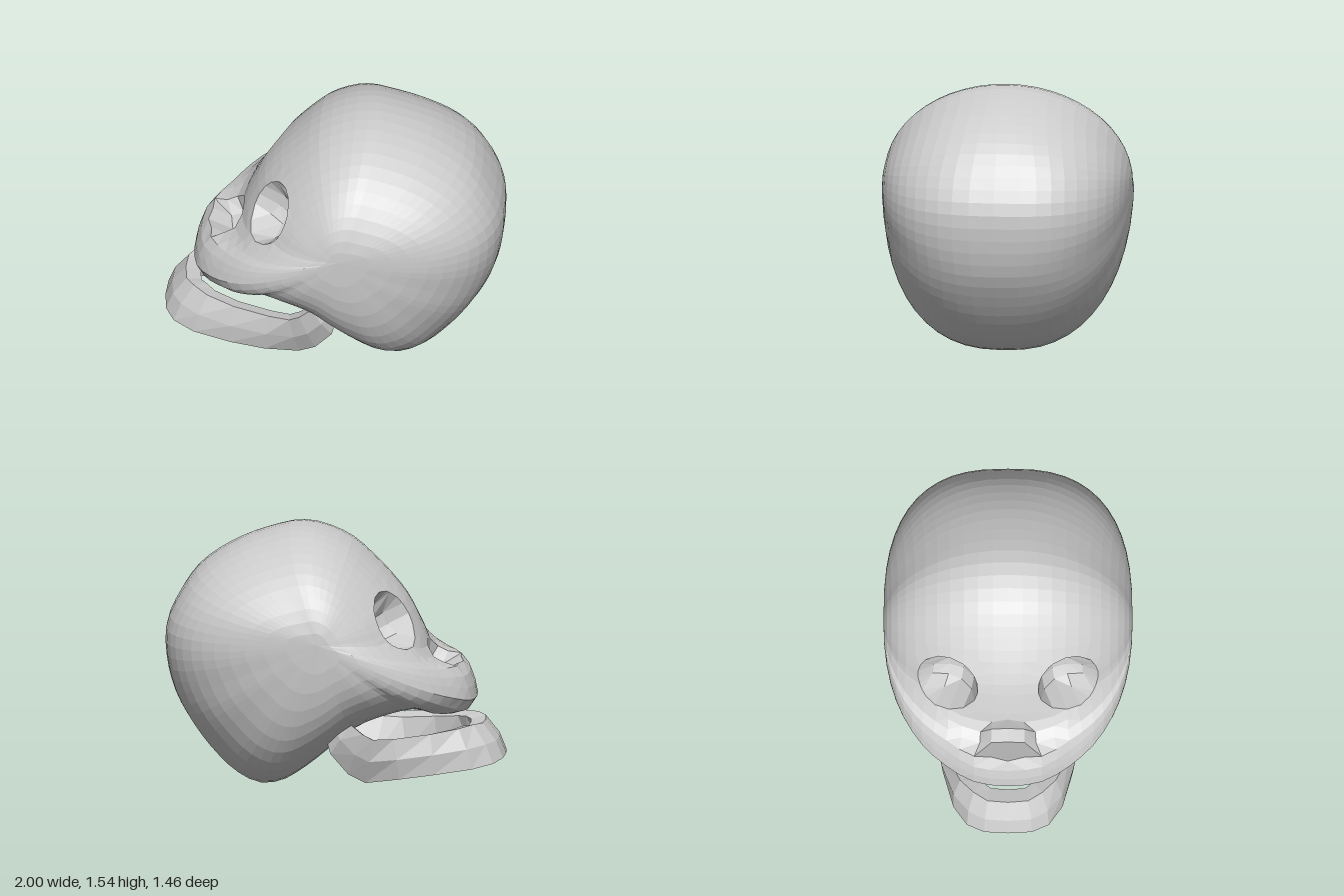
import * as THREE from 'three';

const { smoothstep } = THREE.MathUtils;
const bone = () => new THREE.MeshStandardMaterial({ color: 0xcccccc, flatShading: true, side: THREE.DoubleSide });

function makeMesh(name, positions, index) {
  const g = new THREE.BufferGeometry();
  g.setAttribute('position', new THREE.Float32BufferAttribute(positions, 3));
  g.setIndex(index);
  g.computeVertexNormals();
  const mesh = new THREE.Mesh(g, bone());
  mesh.name = name;
  return mesh;
}

// Midline outline from the upper teeth over the crown and back: x, y, roundness exponent
const OUTLINE = [
  [-0.83, 0.52, 2.2], [-0.81, 0.61, 2.2], [-0.755, 0.72, 2.2], [-0.66, 0.745, 2.1], [-0.57, 0.8, 2.1],
  [-0.52, 0.91, 2], [-0.43, 1.09, 1.95], [-0.33, 1.22, 1.95], [-0.2, 1.35, 2], [-0.08, 1.45, 2],
  [0.08, 1.52, 2], [0.22, 1.54, 2], [0.4, 1.5, 2], [0.6, 1.42, 2.1], [0.8, 1.28, 2.35],
  [0.91, 1.13, 2.6], [0.99, 0.95, 2.65], [0.99, 0.76, 2.65], [0.94, 0.55, 2.5], [0.85, 0.38, 2.5],
  [0.72, 0.2, 2.4], [0.57, 0.06, 2.4], [0.43, 0, 2.4], [0.3, 0.025, 2.5], [0.18, 0.1, 2.65],
  [0, 0.25, 3], [-0.15, 0.37, 3.1], [-0.35, 0.45, 3], [-0.52, 0.475, 2.6], [-0.68, 0.42, 2.4], [-0.78, 0.45, 2.3],
];
// Away from the midline the muzzle runs straight up into the cheek
const CHEEK = { 0: [-0.81, 0.53], 1: [-0.77, 0.62], 2: [-0.71, 0.71], 3: [-0.635, 0.77], 4: [-0.57, 0.84], 29: [-0.66, 0.45], 30: [-0.75, 0.47] };

const toCurve = (rows) => new THREE.CatmullRomCurve3(rows.map(([x, y, n]) => new THREE.Vector3(x, y, n / 10)), true);
const midCurve = toCurve(OUTLINE);
const sideCurve = toCurve(OUTLINE.map(([x, y, n], i) => [...(CHEEK[i] ?? [x, y]), n]));

// Skull surface: u runs round the outline, v from the right side (-1) to the left (1)
const CX = 0.05, CY = 0.95, HALF_WIDTH = 0.73;
function skullPoint(u, v) {
  const t = midCurve.getUtoTmapping(((u % 1) + 1) % 1);
  const mid = midCurve.getPoint(t), e = 0.2 / mid.z;
  const s = Math.sin((v * Math.PI) / 2);
  const a = Math.pow(Math.max(0, Math.cos((v * Math.PI) / 2)), e);
  const z = HALF_WIDTH * Math.sign(s) * Math.pow(Math.abs(s), e);
  const o = mid.lerp(sideCurve.getPoint(t), smoothstep(Math.abs(z), 0.18, 0.42));
  const p = new THREE.Vector3(CX + (o.x - CX) * a, CY + (o.y - CY) * a, z);
  // Hollow palate behind the tooth ridge
  if (p.y < 0.56) {
    const span = smoothstep(p.x, -0.76, -0.6) * (1 - smoothstep(p.x, -0.35, -0.1));
    p.y += 0.1 * span * Math.max(0, 1 - (z / 0.3) ** 2);
  }
  return p;
}

// Openings in the face: centre, axis pointing out, radius, sideways stretch, depth
const socket = (c, n, r, wide, depth) => ({ c: new THREE.Vector3(...c), n: new THREE.Vector3(...n).normalize(), r, wide, depth });
const SOCKETS = [
  socket([-0.35, 1.02, 0.345], [-0.8, 0.45, 0.4], 0.19, 1, 0.19),
  socket([-0.35, 1.02, -0.345], [-0.8, 0.45, -0.4], 0.19, 1, 0.19),
  socket([-0.63, 0.775, 0], [-0.6, 0.8, 0], 0.125, 1.35, 0.12),
];

// Distance from a socket's axis in radii; points far in front or behind count as outside
function socketDistance(p, { c, n, r, wide }) {
  const v = p.clone().sub(c), along = v.dot(n);
  if (Math.abs(along) > 0.115) return 9;
  v.addScaledVector(n, -along);
  return Math.hypot(v.x, v.y, v.z / wide) / r;
}

// Slide vertices near the rim onto it along the surface, and sink those inside
function cutSocket(grid, k) {
  const dist = grid.map((g) => socketDistance(g.p, k));
  const centre = { ...grid[dist.indexOf(Math.min(...dist))] };
  grid.forEach((g, i) => {
    const d = dist[i];
    if (d > 1.25) return;
    if (d < 0.76) {
      g.p.addScaledVector(k.n, -k.depth * (1 - 0.8 * d * d));
      return;
    }
    let lo = 0, hi = 2;
    for (let step = 0; step < 16; step++) {
      const m = (lo + hi) / 2;
      g.p = skullPoint(centre.u + (g.u - centre.u) * m, centre.v + (g.v - centre.v) * m);
      if (socketDistance(g.p, k) < 1) lo = m;
      else hi = m;
    }
  });
}

function createCranium() {
  const NU = 68, NV = 26, ROW = NV + 1;
  const grid = [], index = [];
  for (let i = 0; i < NU; i++) {
    // Start behind the skull base so u stays continuous across the face
    const u = i / NU - 0.25;
    for (let j = 0; j <= NV; j++) {
      const v = (2 * j) / NV - 1;
      grid.push({ u, v, p: skullPoint(u, v) });
      if (j === NV) continue;
      const q = i * ROW + j, r = ((i + 1) % NU) * ROW + j;
      // Mirror the diagonals about the midline
      if (j < NV / 2) index.push(q, q + 1, r + 1, q, r + 1, r);
      else index.push(q, q + 1, r, q + 1, r + 1, r);
    }
  }
  SOCKETS.forEach((k) => cutSocket(grid, k));
  return makeMesh('cranium', grid.flatMap((g) => g.p.toArray()), index);
}

// Jaw stations from chin to hinge: bottom x,y,z, top x,y,z, inward x,z
const JAW = [
  [-1, 0.18, 0, -0.88, 0.38, 0, 1, 0],
  [-0.99, 0.175, 0.14, -0.87, 0.38, 0.12, 1, -0.25],
  [-0.94, 0.16, 0.24, -0.82, 0.385, 0.2, 0.8, -0.6],
  [-0.82, 0.14, 0.32, -0.74, 0.375, 0.28, 0.45, -0.9],
  [-0.6, 0.115, 0.38, -0.58, 0.355, 0.36, 0.25, -1],
  [-0.4, 0.09, 0.4, -0.37, 0.335, 0.42, 0.1, -1],
  [-0.2, 0.06, 0.37, -0.25, 0.335, 0.45, 0, -1],
  [-0.1, 0.12, 0.41, -0.19, 0.37, 0.47, 0, -1],
  [0, 0.25, 0.46, -0.12, 0.43, 0.48, 0, -1],
  [0.03, 0.36, 0.46, -0.05, 0.49, 0.47, 0, -1],
];

function createJaw() {
  const THICK = 0.11, BULGE = 0.02;
  const mirrored = JAW.slice(1).reverse().map(([a, b, c, d, e, f, g, h]) => [a, b, -c, d, e, -f, g, -h]);
  const stations = [...mirrored, ...JAW];
  const positions = [], index = [];
  stations.forEach(([bx, by, bz, tx, ty, tz, ix, iz], i) => {
    const len = Math.hypot(ix, iz), nx = ix / len, nz = iz / len;
    positions.push(
      bx, by, bz,
      (bx + tx) / 2 - nx * BULGE, (by + ty) / 2, (bz + tz) / 2 - nz * BULGE,
      tx, ty, tz,
      tx + nx * THICK * 0.8, ty - 0.02, tz + nz * THICK * 0.8,
      bx + nx * THICK, by + 0.02, bz + nz * THICK,
    );
    if (i === stations.length - 1) return;
    for (let k = 0; k < 5; k++) {
      const a = i * 5 + k, b = i * 5 + ((k + 1) % 5);
      index.push(a, a + 5, b + 5, a, b + 5, b);
    }
  });
  // Hinge end caps
  const e = (stations.length - 1) * 5;
  for (let k = 1; k < 4; k++) index.push(0, k, k + 1, e, e + k + 1, e + k);
  return makeMesh('lowerJaw', positions, index);
}

export function createModel() {
  const skull = new THREE.Group();
  skull.name = 'skull';
  skull.add(createCranium(), createJaw());
  return skull;
}
